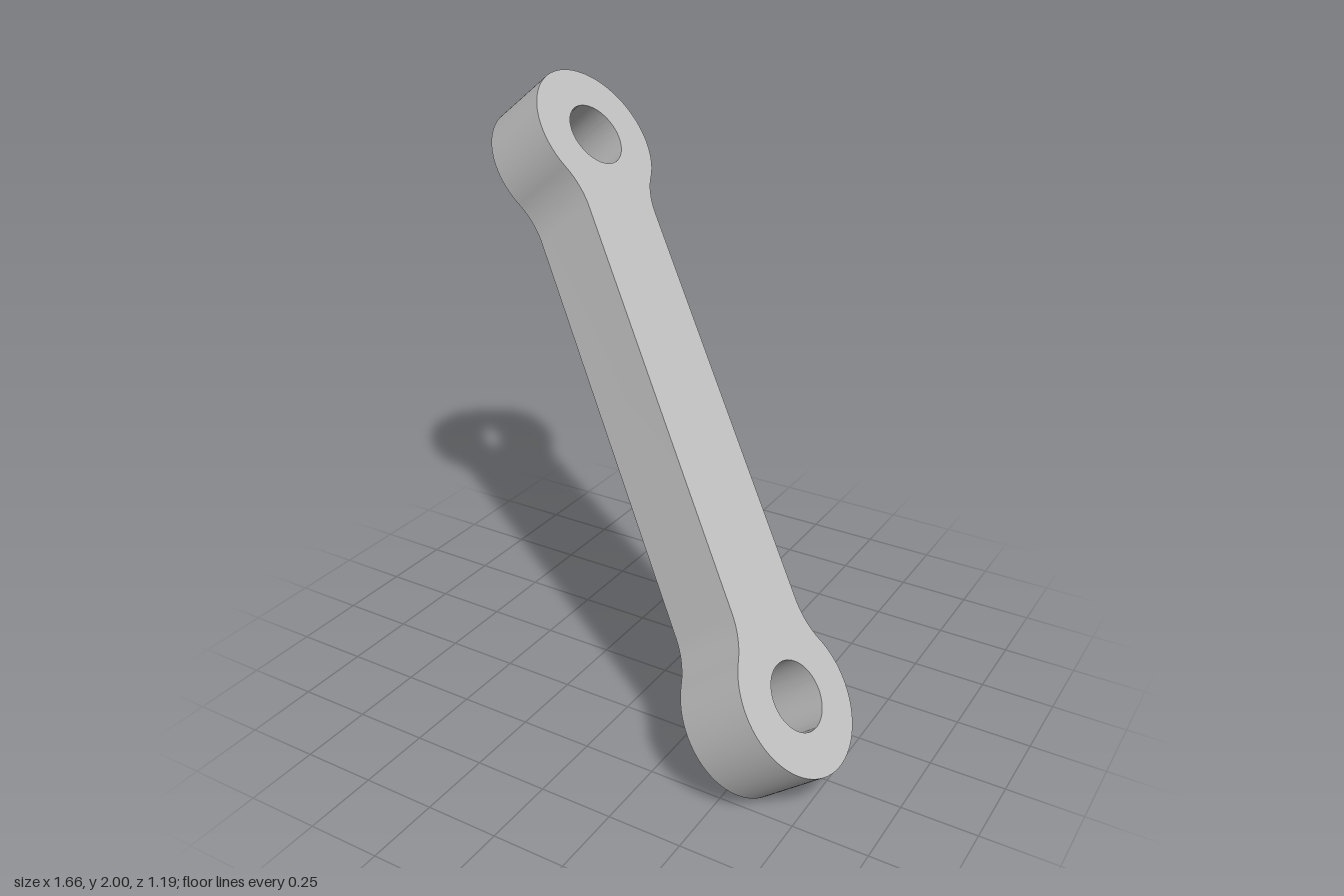
import * as THREE from 'three';
import { toCreasedNormals } from 'three/addons/utils/BufferGeometryUtils.js';

const HEAD_R = 0.2525, HOLE_R = 0.113, HALF_W = 0.16, FILLET = 0.25, THICK = 0.25;
const CENTRE_U = 0.925, CENTRE_Z = 0.343;   // bore centre within the tilted plane

// Outline of two round eyes blended into a straight bar, along X
function linkShape() {
  const c = Math.hypot(CENTRE_U, CENTRE_Z);
  const fy = HALF_W + FILLET;
  const d = Math.sqrt((HEAD_R + FILLET) ** 2 - fy ** 2);
  const a = Math.atan2(fy, -d);             // direction from eye to fillet centre
  const P = Math.PI;
  const s = new THREE.Shape();
  s.absarc(c, 0, HEAD_R, -a, a, false);
  s.absarc(c - d, fy, FILLET, a - P, -P / 2, true);
  s.absarc(d - c, fy, FILLET, -P / 2, -a, true);
  s.absarc(-c, 0, HEAD_R, P - a, P + a, false);
  s.absarc(d - c, -fy, FILLET, a, P / 2, true);
  s.absarc(c - d, -fy, FILLET, P / 2, P - a, true);
  s.closePath();
  for (const x of [-c, c]) {
    const bore = new THREE.Path();
    bore.absarc(x, 0, HOLE_R, 0, P * 2, true);
    s.holes.push(bore);
  }
  return s;
}

export function createModel() {
  const group = new THREE.Group();
  group.name = 'connectingLink';
  const grey = new THREE.MeshStandardMaterial({ color: 0xc0c0c0 });
  grey.name = 'light grey';

  let geo = new THREE.ExtrudeGeometry(linkShape(), { depth: THICK, bevelEnabled: false, curveSegments: 40 });
  geo.translate(0, 0, -THICK / 2);
  geo.rotateZ(-Math.atan2(CENTRE_Z, CENTRE_U));

  // Tilt the plate: its plane holds the z axis and slopes down towards +x
  const u = new THREE.Vector3(0.623, -0.782, 0).normalize();
  const v = new THREE.Vector3(0, 0, -1);
  const n = new THREE.Vector3().crossVectors(u, v);
  geo.applyMatrix4(new THREE.Matrix4().makeBasis(u, v, n));
  geo.translate(0, 1, 0);
  geo = toCreasedNormals(geo, 0.6);

  const link = new THREE.Mesh(geo, grey);
  link.name = 'linkArm';
  group.add(link);
  return group;
}
